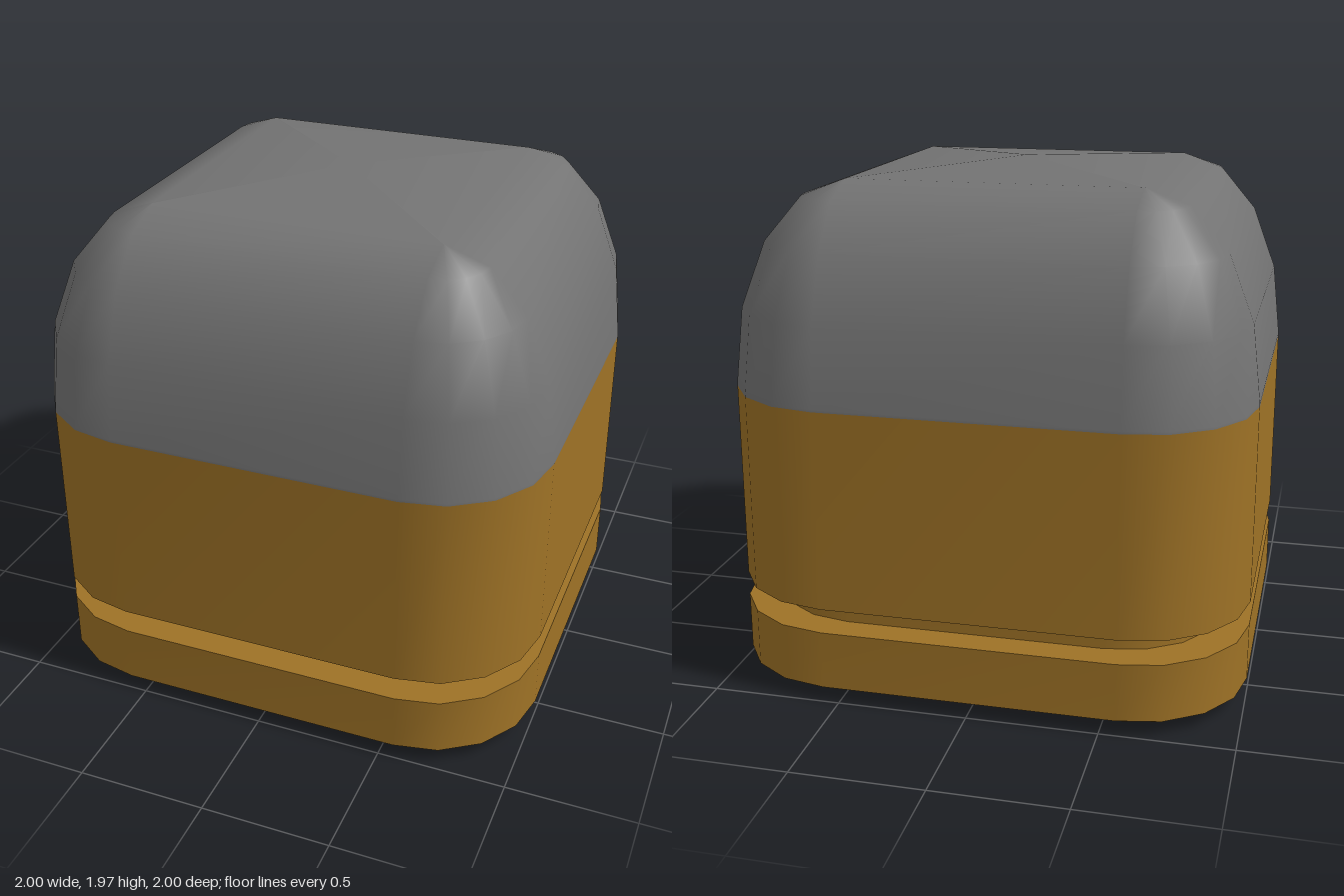
import * as THREE from 'three';

const brass = new THREE.MeshStandardMaterial({ color: 0x9e7226 });
brass.name = 'brass';
const steel = new THREE.MeshStandardMaterial({ color: 0x737373 });
steel.name = 'steel';

const CORE = 0.56;      // half length of the straight sides
const STEPS = 4;        // segments per rounded corner
const BASE_HALF = 0.715;

// Outline of a rounded square as [x, z] pairs
function outline(half, core) {
  const points = [];
  for (let corner = 0; corner < 4; corner++) {
    const mid = (corner + 0.5) * Math.PI / 2;
    for (let s = 0; s <= STEPS; s++) {
      const a = (corner + s / STEPS) * Math.PI / 2;
      points.push([
        Math.sign(Math.cos(mid)) * core + (half - core) * Math.cos(a),
        Math.sign(Math.sin(mid)) * core + (half - core) * Math.sin(a),
      ]);
    }
  }
  return points;
}

// Smooth skin through rounded squares [half, y, core], bottom to top
function loft(levels, apexY) {
  const pos = [];
  const index = [];
  const n = 4 * (STEPS + 1);
  for (const [half, y, core = CORE] of levels) {
    for (const [x, z] of outline(half, core)) pos.push(x, y, z);
  }
  for (let i = 0; i < levels.length - 1; i++) {
    for (let j = 0; j < n; j++) {
      const a = i * n + j;
      const b = i * n + (j + 1) % n;
      index.push(a, a + n, b, b, a + n, b + n);
    }
  }
  if (apexY !== undefined) {
    const last = (levels.length - 1) * n;
    pos.push(0, apexY, 0);
    for (let j = 0; j < n; j++) index.push(last + j, levels.length * n, last + (j + 1) % n);
  }
  const geo = new THREE.BufferGeometry();
  geo.setAttribute('position', new THREE.Float32BufferAttribute(pos, 3));
  geo.setIndex(index);
  geo.computeVertexNormals();
  return geo;
}

export function createModel() {
  const model = new THREE.Group();
  const add = (name, geo, material) => {
    const mesh = new THREE.Mesh(geo, material);
    mesh.name = name;
    model.add(mesh);
  };

  // Domed tip: elliptical shoulder ending in a shallow peak
  const dome = [[1, 1.15]];
  for (let k = 0; k <= 4; k++) {
    const a = k * Math.PI / 8;
    dome.push([CORE + 0.44 * Math.cos(a), 1.16 + 0.77 * Math.sin(a)]);
  }
  // a sliver of radius keeps the last ring's corners smooth
  dome[5][0] = CORE + 0.004;
  add('tip', loft(dome, 1.97), steel);

  // Case wall, extraction groove and rim, each with sharp borders
  const g = 0.885;
  const gc = CORE * g;
  add('caseWall', loft([[1, 0.38], [1, 1.15]]), brass);
  add('grooveTop', loft([[g, 0.38, gc], [1, 0.38]]), brass);
  add('grooveWall', loft([[g, 0.285, gc], [g, 0.38, gc]]), brass);
  add('grooveBottom', loft([[1, 0.285], [g, 0.285, gc]]), brass);
  add('rim', loft([[1, 0.06], [1, 0.285]]), brass);
  add('rimBevel', loft([[BASE_HALF, 0], [0.87, 0.02], [0.97, 0.043], [1, 0.06]]), brass);

  // Base plate with an octagonal opening
  const base = new THREE.Shape(outline(BASE_HALF, CORE).map(([x, z]) => new THREE.Vector2(x, z)));
  const hole = [];
  for (let i = 0; i < 8; i++) {
    const a = -i * Math.PI / 4;
    hole.push(new THREE.Vector2(0.66 * Math.cos(a), 0.66 * Math.sin(a)));
  }
  base.holes.push(new THREE.Path(hole));
  add('basePlate', new THREE.ShapeGeometry(base).rotateX(Math.PI / 2), brass);

  // Recessed octagonal cup with a central stud
  const profile = [[0, 0], [0.24, 0], [0.24, 0.11], [0.66, 0.11], [0.66, 0]];
  const cup = new THREE.LatheGeometry(profile.map(([r, y]) => new THREE.Vector2(r, y)), 8).toNonIndexed();
  cup.computeVertexNormals();
  add('primerCup', cup, steel);

  return model;
}
